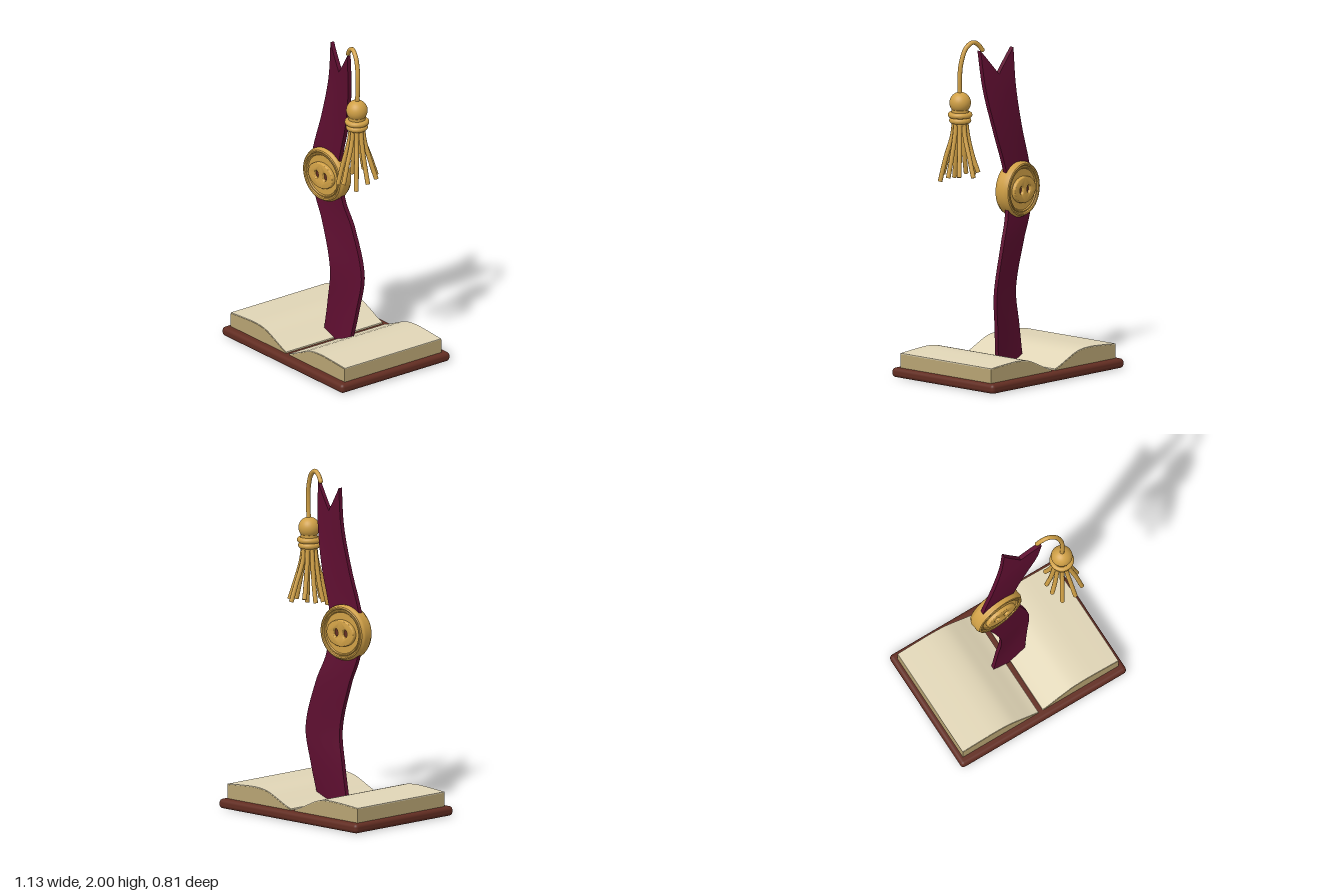
import * as THREE from 'three';
import { toCreasedNormals } from 'three/addons/utils/BufferGeometryUtils.js';
import { RoundedBoxGeometry } from 'three/addons/geometries/RoundedBoxGeometry.js';

const material = (name, color) => {
  const m = new THREE.MeshStandardMaterial({ color });
  m.name = name;
  return m;
};

const V3 = (x, y, z) => new THREE.Vector3(x, y, z);

export function createModel() {
  const leather = material('leather', 0x622d22);
  const paper = material('paper', 0xe0d5b6);
  const paperEdge = material('paper edge', 0xb8a473);
  const satin = material('burgundy satin', 0x5e0e30);
  const gold = material('gold', 0xd0a046);

  const model = new THREE.Group();
  model.name = 'bookmarkOnOpenBook';

  const add = (parent, name, geometry, mat, x = 0, y = 0, z = 0) => {
    const mesh = new THREE.Mesh(geometry, mat);
    mesh.name = name;
    mesh.position.set(x, y, z);
    parent.add(mesh);
    return mesh;
  };

  // Book: rounded cover and two curved page blocks with a thin top sheet
  const book = new THREE.Group();
  book.name = 'book';
  model.add(book);
  add(book, 'cover', new RoundedBoxGeometry(1.135, 0.056, 0.81, 4, 0.022), leather, 0, 0.028);

  const pageTop = new THREE.SplineCurve([
    [0.015, 0.06], [0.06, 0.076], [0.13, 0.108], [0.21, 0.14], [0.3, 0.151], [0.41, 0.147], [0.535, 0.138],
  ].map(([x, y]) => new THREE.Vector2(x, y))).getPoints(28);

  const extrudeOutline = (points, depth) => {
    const g = new THREE.ExtrudeGeometry(new THREE.Shape(points), { depth, bevelEnabled: false });
    g.translate(0, 0, -depth / 2);
    return toCreasedNormals(g, 0.5);
  };

  for (const side of [1, -1]) {
    const label = side > 0 ? 'left' : 'right';
    const curve = (lift) => pageTop.map((p) => new THREE.Vector2(side * p.x, p.y + lift));
    const block = [
      ...curve(0),
      new THREE.Vector2(side * 0.535, 0.05),
      new THREE.Vector2(side * 0.015, 0.05),
    ];
    add(book, label + 'PageBlock', extrudeOutline(block, 0.72), paperEdge);
    add(book, label + 'TopPage', extrudeOutline([...curve(0.005), ...curve(-0.001).reverse()], 0.716), paper);
  }

  // Ribbon: centre line (x, y, z) and half twist in z along the height
  const stations = [
    // y, centre x, centre z, half twist
    [0.04, 0.0, -0.01, -0.005],
    [0.28, 0.038, -0.027, -0.018],
    [0.5, 0.063, -0.034, -0.028],
    [0.78, -0.01, -0.026, -0.023],
    [0.93, -0.068, -0.012, -0.016],
    [1.08, -0.083, 0.0, -0.013],
    [1.2, -0.076, 0.003, -0.01],
    [1.45, 0.0, 0.006, 0.0],
    [1.7, 0.058, 0.016, 0.016],
    [1.93, 0.078, 0.028, 0.027],
  ];
  const sample = (y) => {
    let i = 0;
    while (i < stations.length - 2 && y > stations[i + 1][0]) i++;
    const t = THREE.MathUtils.clamp((y - stations[i][0]) / (stations[i + 1][0] - stations[i][0]), 0, 1);
    const slope = (k, c) => {
      const a = stations[Math.max(k - 1, 0)];
      const b = stations[Math.min(k + 1, stations.length - 1)];
      return (b[c] - a[c]) / (b[0] - a[0]);
    };
    const h = stations[i + 1][0] - stations[i][0];
    return [1, 2, 3].map((c) => {
      const t2 = t * t, t3 = t2 * t;
      return (2 * t3 - 3 * t2 + 1) * stations[i][c] + (t3 - 2 * t2 + t) * h * slope(i, c)
        + (3 * t2 - 2 * t3) * stations[i + 1][c] + (t3 - t2) * h * slope(i + 1, c);
    });
  };
  const ribbon = new THREE.BoxGeometry(2, 1, 0.026, 8, 60, 1);
  const pos = ribbon.attributes.position;
  for (let i = 0; i < pos.count; i++) {
    const u = pos.getX(i);
    // the top edge follows a swallowtail notch
    const top = 1.78 + 0.15 * Math.abs(u);
    const y = 0.04 + (pos.getY(i) + 0.5) * (top - 0.04);
    const [cx, cz, twist] = sample(y);
    pos.setXYZ(i, cx + u * 0.112, y, cz + u * twist + pos.getZ(i));
  }
  add(model, 'ribbon', toCreasedNormals(ribbon, 0.6), satin);

  // Button: turned disc with raised rim, oval pad and two thread holes, same on both faces
  const button = new THREE.Group();
  button.name = 'button';
  button.position.set(-0.083, 1.08, 0);
  button.rotation.y = 0.1;
  model.add(button);

  const half = [
    [0, 0.036], [0.122, 0.036], [0.127, 0.043], [0.133, 0.043], [0.137, 0.038], [0.141, 0.046],
    [0.148, 0.049], [0.155, 0.045], [0.157, 0.036], [0.162, 0.031], [0.165, 0.022], [0.163, 0.006],
  ];
  const profile = [...half.map(([r, h]) => [r, -h]), ...[...half].reverse()]
    .map(([r, h]) => new THREE.Vector2(r, h));
  const disc = new THREE.LatheGeometry(profile, 64);
  disc.rotateX(Math.PI / 2);
  add(button, 'buttonDisc', toCreasedNormals(disc, 0.6), gold);

  const oval = new THREE.Shape().absellipse(0, 0, 0.097, 0.073, 0, Math.PI * 2);
  for (const x of [-0.034, 0.034]) {
    oval.holes.push(new THREE.Path().absellipse(x, 0, 0.022, 0.03, 0, Math.PI * 2));
    const core = new THREE.CylinderGeometry(0.026, 0.026, 0.082, 24);
    core.rotateX(Math.PI / 2);
    add(button, 'threadHole', core, leather, x).scale.y = 1.25;
  }
  const pad = new THREE.ExtrudeGeometry(oval, {
    depth: 0.1, bevelThickness: 0.008, bevelSize: 0.006, bevelSegments: 3, curveSegments: 32,
  });
  pad.translate(0, 0, -0.05);
  add(button, 'buttonPad', toCreasedNormals(pad, 0.6), gold);

  // Tassel: looped cord, ball, binding rings and nine splayed strands
  const tassel = new THREE.Group();
  tassel.name = 'tassel';
  model.add(tassel);
  const tube = (points, radius, segments) =>
    new THREE.TubeGeometry(new THREE.CatmullRomCurve3(points), segments, radius, 10);

  add(tassel, 'cord', tube([
    V3(0.172, 1.935, 0.046), V3(0.198, 1.968, 0.054), V3(0.235, 1.985, 0.063),
    V3(0.28, 1.955, 0.075), V3(0.311, 1.87, 0.085), V3(0.318, 1.78, 0.09), V3(0.313, 1.65, 0.092),
  ], 0.0135, 48), gold);
  add(tassel, 'cordTip', new THREE.SphereGeometry(0.0135, 12, 8), gold, 0.172, 1.935, 0.046);

  const cx = 0.312, cz = 0.092;
  add(tassel, 'ball', new THREE.SphereGeometry(0.063, 32, 20), gold, cx, 1.635, cz);
  for (const [y, r] of [[1.563, 0.055], [1.53, 0.048]]) {
    const ring = new THREE.TorusGeometry(r, 0.017, 12, 36);
    ring.rotateX(Math.PI / 2);
    add(tassel, 'bindingRing', ring, gold, cx, y, cz);
  }
  add(tassel, 'neck', new THREE.CylinderGeometry(0.05, 0.046, 0.09, 24), gold, cx, 1.55, cz);

  const ends = [1.2, 1.21, 1.205, 1.225, 1.2, 1.2, 1.172, 1.2, 1.17];
  const spread = [0.103, 0.115, 0.128, 0.108, 0.09, 0.09, 0.112, 0.118, 0.118];
  ends.forEach((endY, i) => {
    const a = (i / 9) * Math.PI * 2;
    const at = (r, y) => V3(cx + Math.cos(a) * r, y, cz - Math.sin(a) * r);
    const r = spread[i];
    add(tassel, 'strand', tube([at(0.034, 1.54), at(0.046, 1.44), at(r * 0.72, 1.31), at(r, endY)], 0.0135, 16), gold);
    // flat end cap facing along the strand
    const cap = add(tassel, 'strandEnd', new THREE.CircleGeometry(0.0135, 10), gold);
    cap.position.copy(at(r, endY));
    cap.lookAt(at(r * 1.28, endY - 0.11));
  });

  return model;
}
